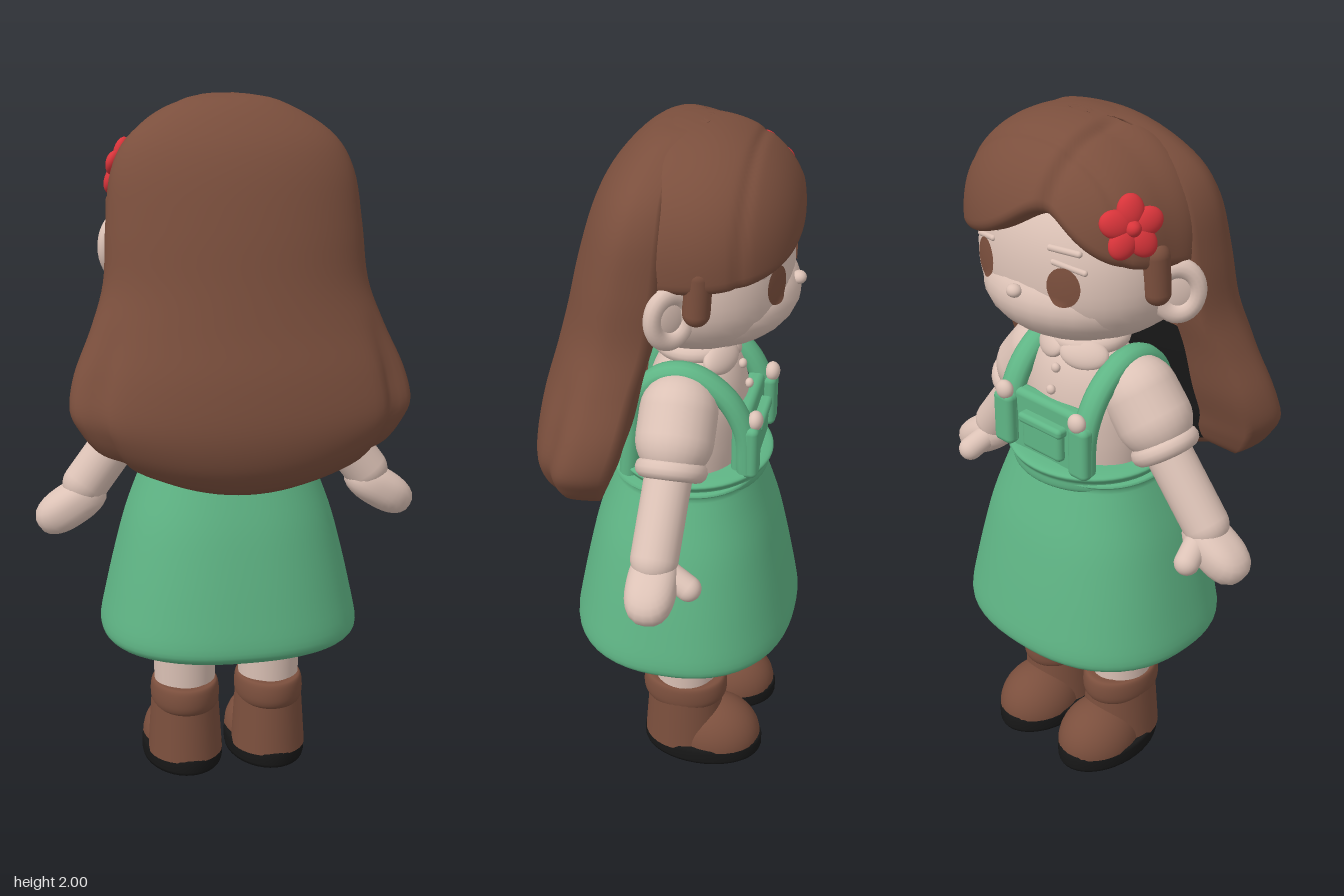
import * as THREE from 'three';
import { mergeVertices } from 'three/addons/utils/BufferGeometryUtils.js';
import { RoundedBoxGeometry } from 'three/addons/geometries/RoundedBoxGeometry.js';

const flat = (name, color, side = THREE.FrontSide) => Object.assign(new THREE.MeshStandardMaterial({ color, side }), { name });
const V = (x, y, z) => new THREE.Vector3(x, y, z);
const bell = (d, w) => Math.exp(-((d / w) ** 2));

// Rounded-box-like ellipsoid: point reached along a direction
function superPoint(d, c, r, n) {
  const k = Math.abs(d.x / r.x) ** n + Math.abs(d.y / r.y) ** n + Math.abs(d.z / r.z) ** n;
  return d.clone().multiplyScalar(k ** (-1 / n)).add(c);
}
const HEAD = { c: V(0, 1.6, -0.06), r: V(0.3, 0.2, 0.253), n: 2.3 };
const CHEEKS = { c: V(0, 1.54, -0.1), r: V(0.265, 0.14, 0.236) };
const CAP = { c: V(0, 1.7, -0.06), r: V(0.335, 0.3, 0.29), n: 2.25 };

// Front surface of the face, whichever of skull and cheeks lies further out
function faceZ(x, y) {
  const depth = (c, rx, ry, rz, n) =>
    c.z - rz * Math.max(0, 1 - Math.abs(x / rx) ** n - Math.abs((y - c.y) / ry) ** n) ** (1 / n);
  return Math.min(depth(HEAD.c, HEAD.r.x, y > HEAD.c.y ? 0.28 : 0.2, HEAD.r.z, HEAD.n),
    depth(CHEEKS.c, CHEEKS.r.x, CHEEKS.r.y, CHEEKS.r.z, 2));
}

function reshape(g, fn) {
  const p = g.attributes.position, uv = g.attributes.uv;
  for (let i = 0; i < p.count; i++) {
    const q = fn(V(0, 0, 0).fromBufferAttribute(p, i), uv.getX(i), uv.getY(i));
    p.setXYZ(i, q.x, q.y, q.z);
  }
  g.deleteAttribute('uv'); g.deleteAttribute('normal');
  const m = mergeVertices(g, 1e-5);
  m.computeVertexNormals();
  return m;
}

// Head: shallower below its middle than above
function headGeometry() {
  return reshape(new THREE.SphereGeometry(1, 48, 32), d =>
    superPoint(d, HEAD.c, V(HEAD.r.x, d.y > 0 ? 0.28 : 0.2, HEAD.r.z), HEAD.n));
}

// Crown and fringe: cap whose lower edge rises at the off-centre parting, then folds inward
function fringeGeometry() {
  return reshape(new THREE.SphereGeometry(1, 128, 56), (p, u, v) => {
    const a = u * Math.PI * 2, dx = -Math.cos(a), dz = Math.sin(a), t = 1 - v;
    const d = Math.atan2(dx, -dz) + 0.34;
    const edge = 1.66 + 0.185 / (1 + (d / (d > 0 ? 0.6 : 0.42)) ** 2);
    const max = Math.acos((edge - CAP.c.y) / 0.31);
    const fold = Math.max(0, (t - 0.8) / 0.2);
    const th = Math.min(1, t / 0.8) * max + 0.08 * Math.sin(Math.min(1, fold * 3) * Math.PI / 2);
    const r = V(CAP.r.x, CAP.r.y, dz > 0 ? 0.25 : CAP.r.z);
    const q = superPoint(V(dx * Math.sin(th), Math.cos(th), dz * Math.sin(th)), CAP.c, r, CAP.n).sub(CAP.c);
    let k = 1 - 0.4 * fold ** 1.5;
    const front = THREE.MathUtils.smoothstep(-q.z, -0.05, 0.05);
    k *= 1 - front * (0.04 * bell(q.x + 0.1, 0.018) + 0.018 * bell(q.z + 0.16, 0.012));
    k *= 1 - front * 0.045 * THREE.MathUtils.smoothstep(-q.x, 0.09, 0.12);
    return q.multiplyScalar(k).add(CAP.c);
  });
}

// Long back hair: crescent sections; the hidden middle of the inner face is its own group
function backHairGeometry() {
  // y, half width, front z, back z, lift of the sides, thickness
  const rows = [
    [2.0, 0.03, -0.09, -0.06, 0, 0.01], [1.98, 0.14, -0.04, 0.055, 0, 0.04], [1.9, 0.275, -0.03, 0.145, 0, 0.06],
    [1.8, 0.337, -0.03, 0.203, 0, 0.07], [1.65, 0.358, -0.02, 0.25, 0, 0.08], [1.5, 0.37, 0, 0.285, 0, 0.1],
    [1.38, 0.41, 0.03, 0.315, 0, 0.12], [1.25, 0.462, 0.055, 0.35, 0.01, 0.16], [1.12, 0.478, 0.085, 0.366, 0.05, 0.17],
    [1.02, 0.45, 0.105, 0.348, 0.09, 0.16], [0.955, 0.41, 0.13, 0.305, 0.105, 0.11], [0.93, 0.37, 0.175, 0.26, 0.115, 0.04]];
  const A = new THREE.CatmullRomCurve3(rows.map(r => V(r[0], r[1], r[2])), false, 'catmullrom');
  const B = new THREE.CatmullRomCurve3(rows.map(r => V(r[3], r[4], r[5])), false, 'catmullrom');
  const R = 55, N = 48, W = 2 * (N + 1), END = 1.92, pos = [], brown = [], dark = [];
  for (let r = 0; r <= R; r++) {
    const { x: y, y: w, z: zf } = A.getPoint(r / R), { x: zb, y: lift, z: th } = B.getPoint(r / R);
    const low = THREE.MathUtils.smoothstep(1.45 - y, 0, 0.25), zm = zf + 0.35 * (zb - zf);
    for (let j = 0; j < W; j++) {
      const inner = j > N, u = (inner ? W - 1 - j : j) / N * 2 - 1, a = u * END, c = Math.cos(a);
      const t = inner ? th : 0, g = inner ? 1 : 1 - 0.06 * low * bell(Math.abs(a) - 1.1, 0.14);
      const z = c > 0 ? zm + Math.max(0, zb - zm - t) * c * g : zm - (zm - zf) * c / Math.cos(END);
      pos.push((w - t) * Math.sin(a) * g, y + lift * Math.sin(a) ** 2, z);
    }
  }
  for (let r = 0; r < R; r++) for (let j = 0; j < W; j++) {
    const a = r * W + j, b = r * W + (j + 1) % W, c = a + W, d = b + W, y = pos[a * 3 + 1];
    (j > N + 12 && j < W - 13 && y < 1.34 && y > 1.0 ? dark : brown).push(a, c, b, b, c, d);
  }
  for (let j = 0; j < N; j++) {
    const o = R * W + j, i = R * W + W - 1 - j;
    brown.push(o, i, o + 1, o + 1, i, i - 1);
  }
  const g = new THREE.BufferGeometry();
  g.setAttribute('position', new THREE.Float32BufferAttribute(pos, 3));
  g.setIndex([...brown, ...dark]);
  g.addGroup(0, brown.length, 0);
  g.addGroup(brown.length, dark.length, 1);
  g.computeVertexNormals();
  return g;
}

export function createModel() {
  const model = new THREE.Group();
  const skin = flat('skin and blouse', 0xdcc2b6), green = flat('green', 0x5fb585), black = flat('black', 0x171717);
  const brown = flat('brown', 0x7b4f3d, THREE.DoubleSide), red = flat('red', 0xd8343a);
  const add = (name, geo, mat, x = 0, y = 0, z = 0, parent = model) => {
    const m = new THREE.Mesh(geo, mat);
    m.name = name; m.position.set(x, y, z); parent.add(m);
    return m;
  };
  const ball = (name, mat, r, x, y, z, parent) =>
    add(name, new THREE.SphereGeometry(1, 28, 18).scale(...r), mat, x, y, z, parent);
  const limb = (name, mat, a, b, r) => {
    const d = b.clone().sub(a), mid = a.clone().lerp(b, 0.5);
    const m = add(name, new THREE.CapsuleGeometry(r, d.length(), 8, 24), mat, mid.x, mid.y, mid.z);
    m.quaternion.setFromUnitVectors(V(0, 1, 0), d.normalize());
    return m;
  };
  const lathe = (pts, sx = 1, sz = 1) => new THREE.LatheGeometry(
    new THREE.SplineCurve(pts.map(p => new THREE.Vector2(...p))).getPoints(40).map(p => p.setX(Math.max(0, p.x))), 56).scale(sx, 1, sz);

  // Head and hair
  add('head', headGeometry(), skin);
  ball('cheeks', skin, CHEEKS.r.toArray(), ...CHEEKS.c.toArray());
  add('fringe', fringeGeometry(), brown);
  add('backHair', backHairGeometry(), [brown, black]);
  ball('nose', skin, [0.022, 0.018, 0.02], 0, 1.58, -0.33);

  // Flower clip
  const flower = new THREE.Group();
  flower.name = 'flowerClip';
  const fp = superPoint(V(-0.85, 0.27, -0.4), CAP.c, CAP.r, CAP.n).add(V(0.008, 0, 0));
  flower.position.copy(fp);
  flower.lookAt(fp.clone().add(V(-0.85, 0.25, -0.45)));
  for (let i = 0; i < 5; i++) {
    const a = i * Math.PI * 0.4 + 0.3;
    ball('petal', red, [0.044, 0.036, 0.022], 0.042 * Math.cos(a), 0.042 * Math.sin(a), 0, flower).rotation.z = a;
  }
  ball('flowerCentre', red, [0.022, 0.022, 0.028], 0, 0, 0.006, flower);
  model.add(flower);

  // Neck, blouse and collar
  add('neck', new THREE.CylinderGeometry(0.075, 0.085, 0.2, 28), skin, 0, 1.36, -0.05);
  add('blouse', lathe([[0.17, 0.98], [0.18, 1.1], [0.175, 1.22], [0.14, 1.31], [0.07, 1.37]], 1.08, 0.8), skin, 0, 0, -0.06);
  add('collarRing', new THREE.TorusGeometry(0.09, 0.026, 12, 36).rotateX(Math.PI / 2), skin, 0, 1.36, -0.05);
  for (const y of [1.3, 1.24]) ball('blouseButton', skin, [0.014, 0.014, 0.012], 0, y, y > 1.27 ? -0.185 : -0.205);

  // Pinafore skirt with slightly squared plan, waistband and bib
  const skirt = lathe([[0, 0.445], [0.2, 0.432], [0.285, 0.432], [0.318, 0.445], [0.327, 0.48], [0.312, 0.57], [0.288, 0.69],
    [0.26, 0.81], [0.225, 0.92], [0.205, 0.98], [0.2, 1.0], [0, 1.0]]);
  add('skirt', reshape(skirt, p => {
    const r = Math.hypot(p.x, p.z) || 1, n = 2.35;
    const k = (Math.abs(p.x / r) ** n + Math.abs(p.z / r) ** n) ** (-1 / n) || 1;
    return p.x || p.z ? V(p.x * k * 1.16, p.y, p.z * k) : p;
  }), green, 0, 0, -0.038);
  add('waistband', lathe([[0.17, 0.965], [0.208, 0.97], [0.215, 1.0], [0.208, 1.03], [0, 1.035]], 1.06), green, 0, 0, -0.052);
  add('bib', new RoundedBoxGeometry(0.27, 0.2, 0.05, 4, 0.018), green, 0, 1.11, -0.205);
  add('bibPocket', new RoundedBoxGeometry(0.15, 0.1, 0.035, 4, 0.015), green, 0, 1.1, -0.235);
  add('pocketFlap', new RoundedBoxGeometry(0.165, 0.03, 0.045, 4, 0.012), green, 0, 1.145, -0.238);

  const strapPath = new THREE.CatmullRomCurve3([V(0, 1.05, -0.23), V(0, 1.17, -0.22), V(0, 1.27, -0.165), V(0, 1.33, -0.07),
    V(0, 1.32, 0.01), V(0, 1.25, 0.075), V(0, 1.12, 0.095), V(0, 1.0, 0.105)]);
  const solePoints = [[0, 0], [0.98, 0], [1, 0.01], [1, 0.04], [0.97, 0.052], [0, 0.052]].map(p => new THREE.Vector2(...p));

  for (const s of [-1, 1]) {
    // Face
    const eye = new THREE.RingGeometry(0, 1, 32, 5).rotateY(Math.PI).scale(0.044, 0.053, 1);
    const p = eye.attributes.position;
    for (let i = 0; i < p.count; i++) {
      const x = p.getX(i) + s * 0.142, y = p.getY(i) + 1.62;
      p.setXYZ(i, x, y, faceZ(x, y) - 0.005);
    }
    eye.computeVertexNormals();
    add('eye', eye, brown);
    const on = (x, y) => V(s * x, y, faceZ(x, y));
    limb('eyebrow', skin, on(0.095, 1.715), on(0.17, 1.71), 0.009);
    limb('upperLash', skin, on(0.11, 1.682), on(0.19, 1.665), 0.008);
    limb('sideburn', brown, V(s * 0.298, 1.7, -0.12), V(s * 0.3, 1.6, -0.115), 0.036);
    const ear = new THREE.Group();
    ear.name = 'ear';
    ear.position.set(s * 0.312, 1.585, -0.05);
    ear.rotation.y = Math.PI - s * 0.8;
    add('earRim', new THREE.TorusGeometry(0.053, 0.023, 12, 32).scale(1, 1.2, 1), skin, 0, 0, 0, ear);
    ball('earInner', skin, [0.053, 0.064, 0.018], 0, 0, -0.006, ear);
    model.add(ear);
    const flap = ball('collarFlap', skin, [0.07, 0.045, 0.025], s * 0.06, 1.345, -0.135);
    flap.rotation.set(0.6, s * -0.4, s * 0.2);

    // Shoulder straps
    add('strap', new THREE.TubeGeometry(strapPath, 48, 0.031, 12).scale(1.2, 1, 1), green, s * 0.145, 0, 0);
    add('strapEnd', new RoundedBoxGeometry(0.07, 0.16, 0.045, 4, 0.018), green, s * 0.145, 1.115, -0.24);
    ball('strapButton', skin, [0.028, 0.028, 0.022], s * 0.14, 1.205, -0.248);

    // Arms
    limb('sleeve', skin, V(s * 0.185, 1.235, -0.045), V(s * 0.235, 1.175, -0.045), 0.108);
    const cuff = add('sleeveCuff', new THREE.TorusGeometry(0.07, 0.03, 12, 32).rotateX(Math.PI / 2), skin, s * 0.278, 1.105, -0.045);
    cuff.rotation.z = s * 0.6;
    limb('forearm', skin, V(s * 0.25, 1.13, -0.04), V(s * 0.42, 0.905, -0.03), 0.066);
    const hand = add('hand', reshape(new THREE.SphereGeometry(1, 28, 18), d =>
      superPoint(d, V(0, 0, 0), V(0.112, 0.06, 0.07), 2.5)), skin, s * 0.462, 0.845, -0.032);
    hand.rotation.z = s * -0.55;
    limb('thumb', skin, V(s * 0.42, 0.87, -0.06), V(s * 0.438, 0.835, -0.128), 0.036);

    // Legs and boots
    const x = s * 0.13;
    add('leg', new THREE.CylinderGeometry(0.1, 0.09, 0.3, 32), skin, x, 0.37, -0.055);
    add('bootShaft', new THREE.CylinderGeometry(0.1, 0.113, 0.2, 32).scale(1, 1, 1.1), brown, x, 0.14, -0.055);
    add('bootCuff', lathe([[0.07, 0.19], [0.095, 0.19], [0.106, 0.21], [0.107, 0.245], [0.1, 0.27], [0.08, 0.272]], 0.96, 1.2), brown, x, 0, -0.055);
    add('bootToe', new THREE.SphereGeometry(1, 32, 16, 0, Math.PI * 2, 0, Math.PI / 2).scale(0.115, 0.125, 0.14), brown, x, 0.045, -0.152);
    add('bootSole', new THREE.LatheGeometry(solePoints, 40).scale(0.122, 1, 0.185), black, x, 0, -0.113);
  }
  return model;
}
